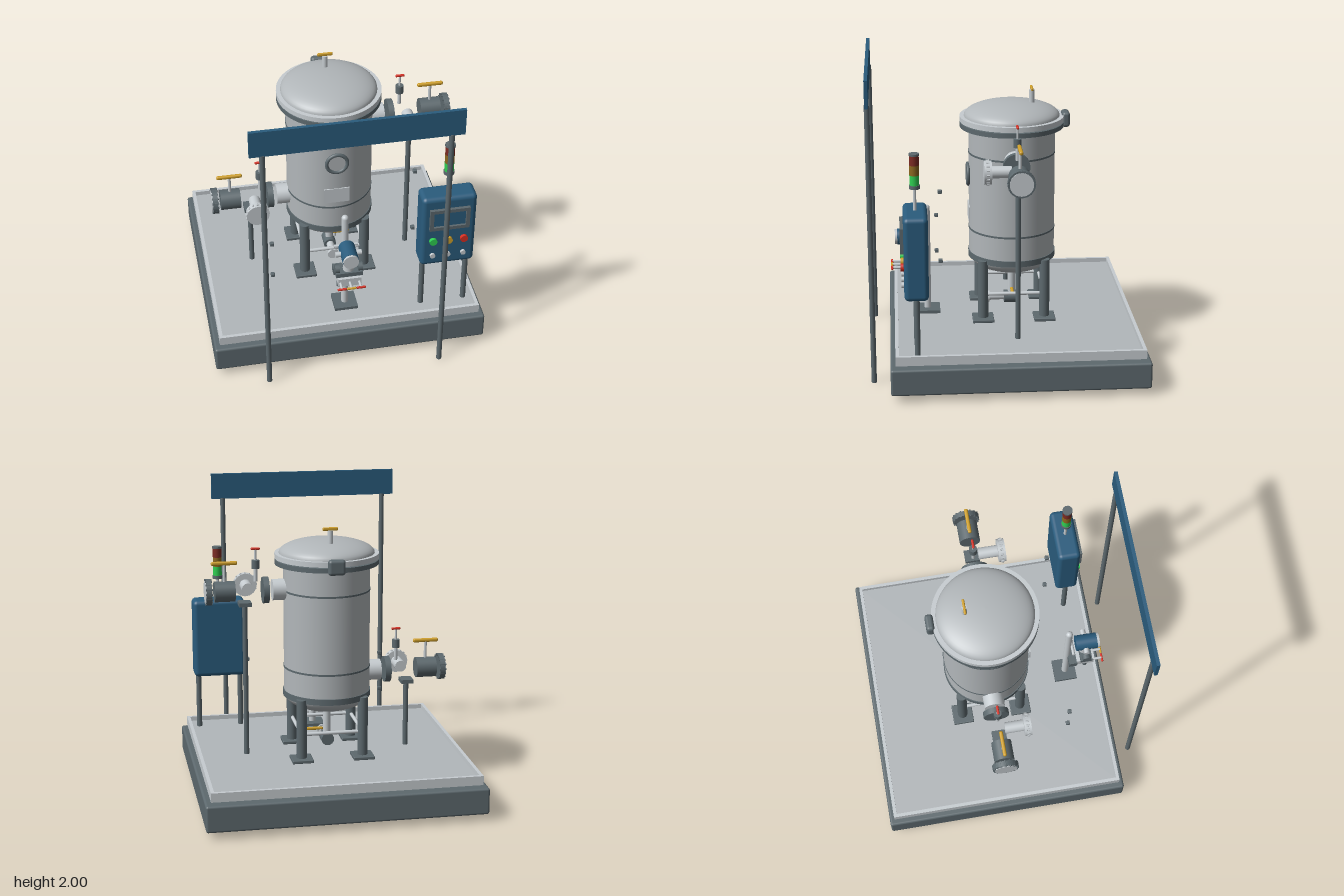
import * as THREE from 'three';
import { RoundedBoxGeometry } from 'three/addons/geometries/RoundedBoxGeometry.js';

const mat = (name, color) => {
  const m = new THREE.MeshStandardMaterial({ color });
  m.name = name;
  return m;
};

export function createModel() {
  const steel = mat('brushed steel', 0xb2b7ba);
  const light = mat('light steel', 0xc6ccd0);
  const dark = mat('dark grey', 0x5d696e);
  const blue = mat('blue paint', 0x2a5c7d);
  const yellow = mat('yellow', 0xd0a02a);
  const red = mat('red', 0xd62f22);
  const green = mat('green', 0x2fd052);
  const amber = mat('amber lamp', 0x8c6820);
  const maroon = mat('red lamp', 0x7c2a22);

  const model = new THREE.Group();
  model.name = 'filterSkid';
  const TZ = -0.06; // tank axis

  const add = (name, geo, m, x, y, z, parent = model) => {
    const mesh = new THREE.Mesh(geo, m);
    mesh.name = name;
    mesh.position.set(x, y, z);
    parent.add(mesh);
    return mesh;
  };
  const box = (name, m, w, h, d, x, y, z, parent) =>
    add(name, new THREE.BoxGeometry(w, h, d), m, x, y, z, parent);
  const rbox = (name, m, w, h, d, r, x, y, z, parent) =>
    add(name, new RoundedBoxGeometry(w, h, d, 4, r), m, x, y, z, parent);
  // Cylinder centred at x, y, z and lying along the given axis
  const cyl = (name, m, r, len, axis, x, y, z, parent, seg = 32) => {
    const g = new THREE.CylinderGeometry(r, r, len, seg);
    if (axis === 'x') g.rotateZ(-Math.PI / 2);
    if (axis === 'z') g.rotateX(Math.PI / 2);
    return add(name, g, m, x, y, z, parent);
  };
  // Vertical post between two heights
  const post = (name, m, r, y0, y1, x, z, parent, seg = 20) =>
    cyl(name, m, r, y1 - y0, 'y', x, (y0 + y1) / 2, z, parent, seg);

  // Plinth and drip tray
  rbox('plinth', dark, 1.8, 0.175, 1.64, 0.015, 0, 0.133, TZ);
  box('trayFloor', steel, 1.7, 0.03, 1.55, 0, 0.25, TZ);
  for (const s of [-1, 1]) {
    box('traySideRim', light, 0.022, 0.06, 1.575, s * 0.853, 0.265, TZ);
    box('trayEndRim', light, 1.684, 0.06, 0.022, 0, 0.265, TZ + s * 0.777);
  }

  // Overhead sign
  box('signBoard', blue, 1.29, 0.175, 0.022, 0, 1.9125, 0.87);
  for (const s of [-1, 1]) post('signPost', dark, 0.017, 0, 1.83, s * 0.567, 0.868);

  // Tank
  const tank = new THREE.Group();
  tank.name = 'tank';
  tank.position.z = TZ;
  model.add(tank);
  const dome = (name, r, h, y, dir) => {
    const pts = [];
    for (let i = 0; i <= 14; i++) {
      const a = (i / 14) * Math.PI / 2;
      pts.push(new THREE.Vector2(r * Math.cos(a), dir * h * Math.sin(a)));
    }
    if (dir < 0) pts.reverse();
    add(name, new THREE.LatheGeometry(pts, 56), steel, 0, y, 0, tank);
  };
  const ring = (name, m, r, y0, y1) => post(name, m, r, y0, y1, 0, 0, tank, 56);
  ring('shell', steel, 0.283, 0.67, 1.56);
  dome('bottomDome', 0.283, 0.115, 0.67, -1);
  ring('lowerBand', dark, 0.289, 0.655, 0.695);
  ring('weldBand', dark, 0.286, 0.849, 0.861);
  ring('weldBand', dark, 0.286, 1.364, 1.376);
  ring('bodyFlange', dark, 0.34, 1.54, 1.57);
  ring('lidFlange', light, 0.34, 1.577, 1.61);
  dome('lid', 0.312, 0.092, 1.61, 1);
  rbox('lidHinge', dark, 0.11, 0.1, 0.052, 0.02, 0, 1.58, -0.352, tank);
  post('ventStem', light, 0.018, 1.66, 1.775, 0, -0.13, tank);
  rbox('ventHandle', yellow, 0.1, 0.022, 0.016, 0.007, 0, 1.785, -0.13, tank);

  // Sight glass and name plate
  add('sightGlassRing', new THREE.TorusGeometry(0.068, 0.012, 12, 40), dark, 0, 1.215, 0.288, tank);
  cyl('sightGlass', steel, 0.064, 0.03, 'z', 0, 1.215, 0.274, tank);
  box('namePlate', light, 0.17, 0.11, 0.008, 0, 0.955, 0.283, tank);

  // Legs, feet and braces
  for (const s of [-1, 1]) {
    for (const t of [-1, 1]) {
      post('tankLeg', dark, 0.034, 0.27, 0.68, s * 0.203, t * 0.203, tank, 24);
      rbox('legFoot', dark, 0.14, 0.022, 0.14, 0.005, s * 0.203, 0.275, t * 0.203, tank);
    }
    cyl('legBrace', light, 0.012, 0.4, 'x', 0, 0.443, s * 0.203, tank, 16);
    cyl('legBrace', light, 0.012, 0.4, 'z', s * 0.203, 0.443, 0, tank, 16);
  }

  // Drain
  post('drainPipe', light, 0.025, 0.35, 0.57, 0, 0, tank);
  cyl('drainValve', dark, 0.042, 0.1, 'z', 0, 0.347, 0, tank);
  cyl('drainOutlet', light, 0.025, 0.13, 'z', 0, 0.35, 0.09, tank);
  cyl('drainCap', light, 0.037, 0.014, 'z', 0, 0.35, 0.155, tank);
  post('drainStem', light, 0.01, 0.38, 0.41, 0.04, 0, tank, 12);
  rbox('drainLever', yellow, 0.115, 0.02, 0.02, 0.008, 0.083, 0.413, 0, tank);

  // Ring of flange bolts lying along an axis
  const bolts = (axis, r, len, x, y, z, parent) => {
    for (let i = 0; i < 16; i++) {
      const a = (i / 16) * Math.PI * 2, u = r * Math.cos(a), v = r * Math.sin(a);
      cyl('flangeBolt', axis === 'x' ? dark : light, 0.007, len, axis,
        x + (axis === 'x' ? 0 : u), y + v, z + (axis === 'x' ? u : 0), parent, 6);
    }
  };

  // Inlet and outlet lines, one on each side
  for (const [s, y, name] of [[1, 1.374, 'outletLine'], [-1, 0.802, 'inletLine']]) {
    const g = new THREE.Group();
    g.name = name;
    g.position.set(0, y, TZ);
    model.add(g);
    cyl('nozzle', light, 0.069, 0.13, 'x', s * 0.295, 0, 0, g);
    cyl('nozzleFlange', dark, 0.086, 0.038, 'x', s * 0.404, 0, 0, g);
    cyl('branchNeck', light, 0.038, 0.13, 'z', s * 0.513, 0, 0.105, g);
    cyl('branchFlange', light, 0.075, 0.048, 'z', s * 0.513, 0, 0.19, g);
    bolts('z', 0.074, 0.02, s * 0.513, 0, 0.19, g);
    cyl('valveBody', dark, 0.067, 0.133, 'x', s * 0.67, 0, 0, g);
    cyl('endFlange', dark, 0.086, 0.034, 'x', s * 0.774, 0, 0, g);
    bolts('x', 0.08, 0.044, s * 0.774, 0, 0, g);
    cyl('endFace', light, 0.074, 0.008, 'x', s * 0.793, 0, 0, g);
    post('leverStem', light, 0.01, 0.06, 0.18, s * 0.67, 0, g, 12);
    rbox('lever', yellow, 0.17, 0.025, 0.024, 0.01, s * 0.67, 0.185, 0, g);
    // Small instrument valve
    post('instrumentStem', light, 0.012, 0.06, 0.17, s * 0.467, 0, g, 12);
    post('instrumentValve', dark, 0.026, 0.145, 0.2, s * 0.467, 0, g, 20);
    post('instrumentSpindle', light, 0.007, 0.2, 0.27, s * 0.467, 0, g, 12);
    rbox('instrumentHandle', red, 0.06, 0.015, 0.016, 0.006, s * 0.467, 0.274, 0, g);
    // Support stand
    box('supportSaddle', dark, 0.082, 0.025, 0.095, s * 0.54, -0.085, 0, g);
    post('supportPost', dark, 0.017, 0.26 - y, -0.085, s * 0.54, 0, g);
  }

  // Pipe clips
  for (const [x, y] of [[0.465, 1.24], [0.465, 0.78], [-0.465, 0.78], [-0.465, 0.52]])
    rbox('pipeClip', dark, 0.026, 0.024, 0.026, 0.004, x, y, 0.428);

  // Control cabinet
  const PX = 0.643;
  rbox('cabinet', blue, 0.356, 0.54, 0.152, 0.03, PX, 0.91, 0.588);
  for (const s of [-1, 1]) post('cabinetLeg', dark, 0.018, 0.26, 0.66, PX + s * 0.145, 0.588);
  const frame = new THREE.Shape();
  frame.moveTo(-0.13, -0.08).lineTo(0.13, -0.08).lineTo(0.13, 0.08).lineTo(-0.13, 0.08).closePath();
  const hole = new THREE.Path();
  hole.moveTo(-0.105, -0.056).lineTo(-0.105, 0.056).lineTo(0.105, 0.056).lineTo(0.105, -0.056).closePath();
  frame.holes.push(hole);
  add('screenFrame', new THREE.ExtrudeGeometry(frame, { depth: 0.022, bevelEnabled: false }), dark, PX, 1.02, 0.663);
  box('screen', blue, 0.21, 0.112, 0.008, PX, 1.02, 0.666);
  [green, yellow, red].forEach((m, i) => {
    const x = PX + (i - 1) * 0.101;
    cyl('pushButton', m, 0.025, 0.024, 'z', x, 0.845, 0.672, model, 24);
    cyl('selector', light, 0.017, 0.02, 'z', x, 0.727, 0.67, model, 20);
  });

  // Signal lamp
  post('lampPole', light, 0.01, 1.17, 1.33, PX, 0.588, model, 16);
  post('lampBase', dark, 0.034, 1.32, 1.343, PX, 0.588);
  [green, amber, maroon].forEach((m, i) =>
    post('lampSegment', m, 0.03, 1.343 + i * 0.063, 1.406 + i * 0.063, PX, 0.588));
  post('lampCap', dark, 0.033, 1.53, 1.543, PX, 0.588);

  // Transmitter stand at the front
  const stand = new THREE.Group();
  stand.name = 'transmitterStand';
  model.add(stand);
  box('standFoot', dark, 0.155, 0.02, 0.155, 0, 0.275, 0.5, stand);
  post('standPost', light, 0.023, 0.28, 0.985, 0, 0.505, stand);
  add('standCap', new THREE.SphereGeometry(0.023, 20, 12), light, 0, 0.985, 0.505, stand);
  cyl('clampBar', light, 0.01, 0.155, 'x', 0, 0.785, 0.53, stand, 12);
  cyl('transmitterBody', blue, 0.053, 0.145, 'z', 0, 0.79, 0.628, stand);
  cyl('transmitterFace', light, 0.05, 0.016, 'z', 0, 0.79, 0.708, stand);
  cyl('conduitBoss', light, 0.018, 0.17, 'x', 0, 0.79, 0.62, stand, 16);
  post('transmitterNeck', light, 0.036, 0.65, 0.76, 0, 0.62, stand);
  box('neckPlate', dark, 0.175, 0.03, 0.08, 0, 0.645, 0.625, stand);
  box('manifold', light, 0.15, 0.06, 0.12, 0, 0.595, 0.62, stand);
  box('manifoldBracket', dark, 0.17, 0.05, 0.055, 0, 0.595, 0.535, stand);
  for (const i of [-1, 0, 1]) {
    const x = i * 0.062;
    cyl('manifoldSpindle', light, 0.009, 0.065, 'z', x, 0.593, 0.705, stand, 12);
    rbox('manifoldHandle', i ? red : yellow, 0.06, 0.014, 0.014, 0.005, x, 0.593, 0.738, stand);
    if (i) {
      post('manifoldPort', dark, 0.016, 0.53, 0.57, x, 0.62, stand, 16);
      cyl('sideBolt', dark, 0.03, 0.03, 'x', i * 0.075, 0.675, 0.625, stand, 16);
    }
  }
  return model;
}
